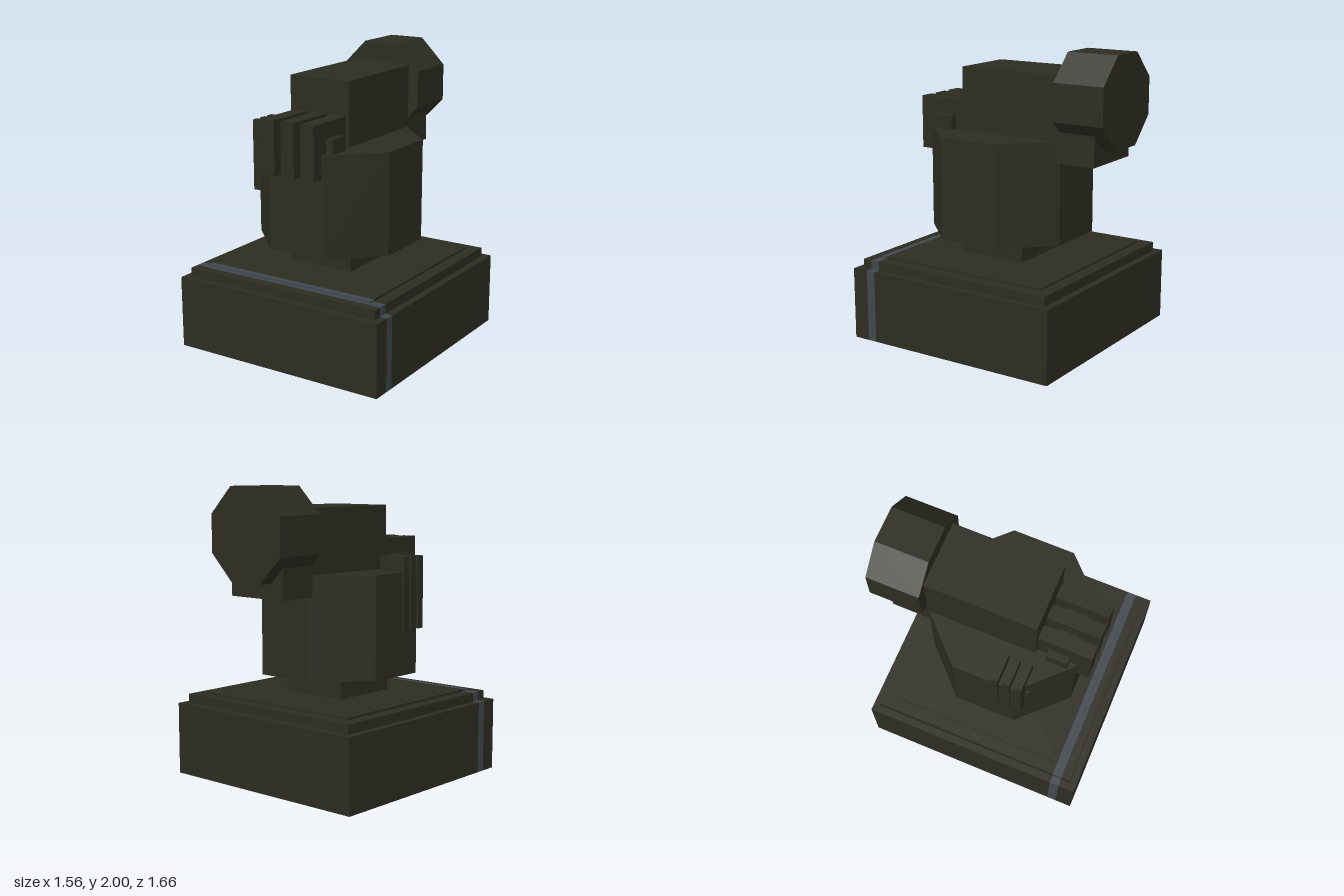
import * as THREE from 'three';

export function createModel() {
  const model = new THREE.Group();
  model.name = 'handStatue';

  const stone = new THREE.MeshStandardMaterial({ color: 0x2d2c21 });
  stone.name = 'darkOlive';
  const band = new THREE.MeshStandardMaterial({ color: 0x40474e });
  band.name = 'slateBlue';

  function add(parent, name, geometry, material, x, y, z) {
    const mesh = new THREE.Mesh(geometry, material);
    mesh.name = name;
    mesh.position.set(x, y, z);
    parent.add(mesh);
    return mesh;
  }

  // box given by its limits on each axis
  function block(parent, name, [x0, x1], [y0, y1], [z0, z1], material = stone) {
    const geometry = new THREE.BoxGeometry(x1 - x0, y1 - y0, z1 - z0);
    return add(parent, name, geometry, material, (x0 + x1) / 2, (y0 + y1) / 2, (z0 + z1) / 2);
  }

  // upright octagonal prism with flat sides facing the axes
  function octagon(apothem, height) {
    const radius = apothem / Math.cos(Math.PI / 8);
    return new THREE.CylinderGeometry(radius, radius, height, 8).rotateY(Math.PI / 8).toNonIndexed();
  }
  function flatOctagon(apothem, height) {
    const geometry = octagon(apothem, height);
    geometry.computeVertexNormals();
    return geometry;
  }

  // stepped base, each tier cut by a coloured band near the front
  const base = new THREE.Group();
  base.name = 'base';
  model.add(base);
  const bandBack = 0.65, bandFront = 0.715;
  const tiers = [
    { half: 0.78, y: [0, 0.497], z: [-0.73, 0.83] },
    { half: 0.73, y: [0.497, 0.56], z: [-0.68, 0.78] },
    { half: 0.645, y: [0.56, 0.575], z: [-0.595, 0.69] },
  ];
  tiers.forEach(({ half, y, z }, i) => {
    const x = [-half, half];
    const n = i + 1;
    block(base, 'tierBack' + n, x, y, [z[0], bandBack]);
    block(base, 'tierBand' + n, x, y, [bandBack, Math.min(bandFront, z[1])], band);
    if (z[1] > bandFront) block(base, 'tierFront' + n, x, y, [bandFront, z[1]]);
  });

  // neck and octagonal body
  block(model, 'neck', [-0.245, 0.245], [0.575, 0.74], [-0.195, 0.3]);
  add(model, 'body', flatOctagon(0.52, 0.695), stone, 0, 1.0775, 0.05);

  // arm on top, lower rear block and octagonal end
  block(model, 'arm', [-0.23, 0.23], [1.4, 1.86], [-0.5, 0.295]);
  block(model, 'rearBlock', [-0.23, 0.23], [1.285, 1.52], [-0.73, -0.3]);
  add(model, 'octagonalEnd', flatOctagon(0.306, 0.365).rotateX(Math.PI / 2), stone, 0, 1.694, -0.65);

  // three front fingers over a crossbar
  const front = new THREE.Group();
  front.name = 'frontFingers';
  model.add(front);
  for (const x of [-0.152, 0, 0.152]) {
    block(front, 'frontFinger', [x - 0.05, x + 0.05], [1.265, 1.63], [0.29, 0.662]);
  }
  block(front, 'frontCrossbar', [-0.253, 0.253], [1.38, 1.52], [0.375, 0.52]);

  // three thin fins on the right side over a small crossbar
  const side = new THREE.Group();
  side.name = 'sideFins';
  model.add(side);
  for (const z of [0.132, 0.213, 0.295]) {
    block(side, 'sideFin', [-0.533, -0.335], [1.035, 1.527], [z - 0.024, z + 0.024]);
  }
  block(side, 'sideCrossbar', [-0.468, -0.437], [1.25, 1.315], [0.1, 0.346]);

  return model;
}
